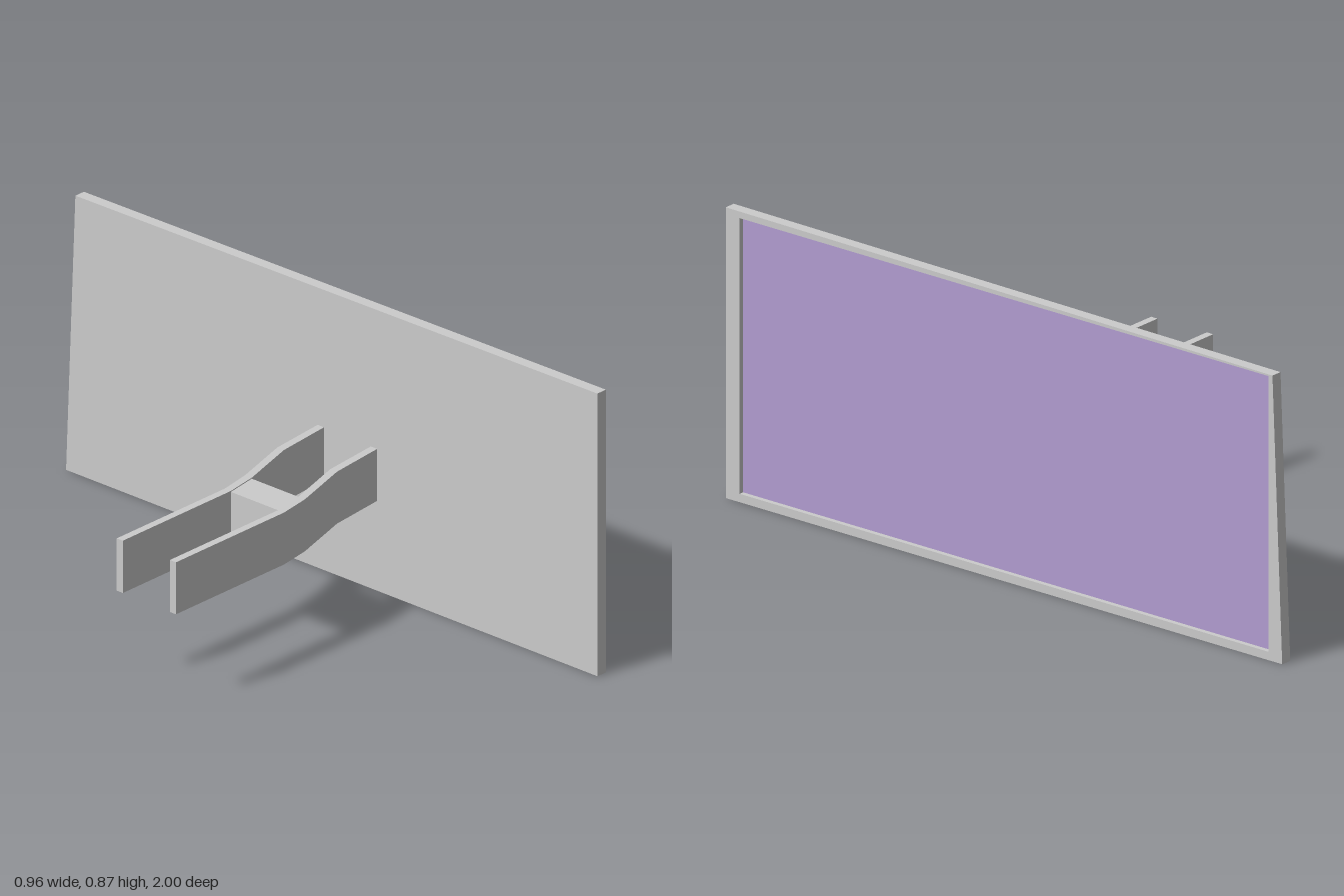
import * as THREE from 'three';

const grey = new THREE.MeshStandardMaterial({ color: 0xcccccc, flatShading: true });
const violet = new THREE.MeshStandardMaterial({ color: 0xb29cd1, flatShading: true });

function add(group, name, geometry, material = grey) {
  const mesh = new THREE.Mesh(geometry, material);
  mesh.name = name;
  group.add(mesh);
  return mesh;
}

const toShape = (points) => new THREE.Shape(points.map(([a, b]) => new THREE.Vector2(a, b)));
const extrude = (shape, depth) => new THREE.ExtrudeGeometry(shape, { depth, bevelEnabled: false });

// Slab facing +x, from an outline drawn in (-z, y)
const slab = (shape, x0, x1) => extrude(shape, x1 - x0).rotateY(Math.PI / 2).translate(x0, 0, 0);

// Upright piece, from a plan drawn in (x, z)
const upright = (plan, y0, y1) =>
  extrude(toShape(plan.map(([x, z]) => [x, -z])), y1 - y0).rotateX(-Math.PI / 2).translate(0, y0, 0);

export function createModel() {
  const model = new THREE.Group();
  model.name = 'signBoard';

  // Board: back plate, raised rim and recessed coloured face
  const board = new THREE.Group();
  board.name = 'board';
  model.add(board);
  const outline = [[-1, 0], [1, 0], [0.965, 0.85], [-1, 0.865]];
  add(board, 'backPlate', slab(toShape(outline), 0.445, 0.455));

  const rim = toShape(outline);
  const opening = [[-0.95, 0.025], [-0.95, 0.845], [0.95, 0.845], [0.95, 0.025]];
  rim.holes.push(new THREE.Path(opening.map(([a, b]) => new THREE.Vector2(a, b))));
  add(board, 'rim', slab(rim, 0.455, 0.48));
  add(board, 'face', slab(toShape([...opening].reverse()), 0.455, 0.465), violet);

  // Two parallel bent arms: [x, back z, front z]
  const bends = [
    [-0.48, 0.04, 0.063], [-0.037, 0.04, 0.063], [0.066, 0.022, 0.047],
    [0.26, -0.035, -0.01], [0.446, -0.053, -0.029],
  ];
  const armPlan = (dz) => [
    ...bends.map(([x, , front]) => [x, front + dz]),
    ...[...bends].reverse().map(([x, back]) => [x, back + dz]),
  ];
  add(model, 'backArm', upright(armPlan(0), 0.277, 0.437));
  add(model, 'frontArm', upright(armPlan(0.2), 0.275, 0.434));

  // Block bridging the arms at the first bend
  add(model, 'bridge', upright(
    [[-0.037, 0.24], [0.066, 0.222], [0.066, 0.047], [-0.037, 0.063]], 0.276, 0.434));

  return model;
}
